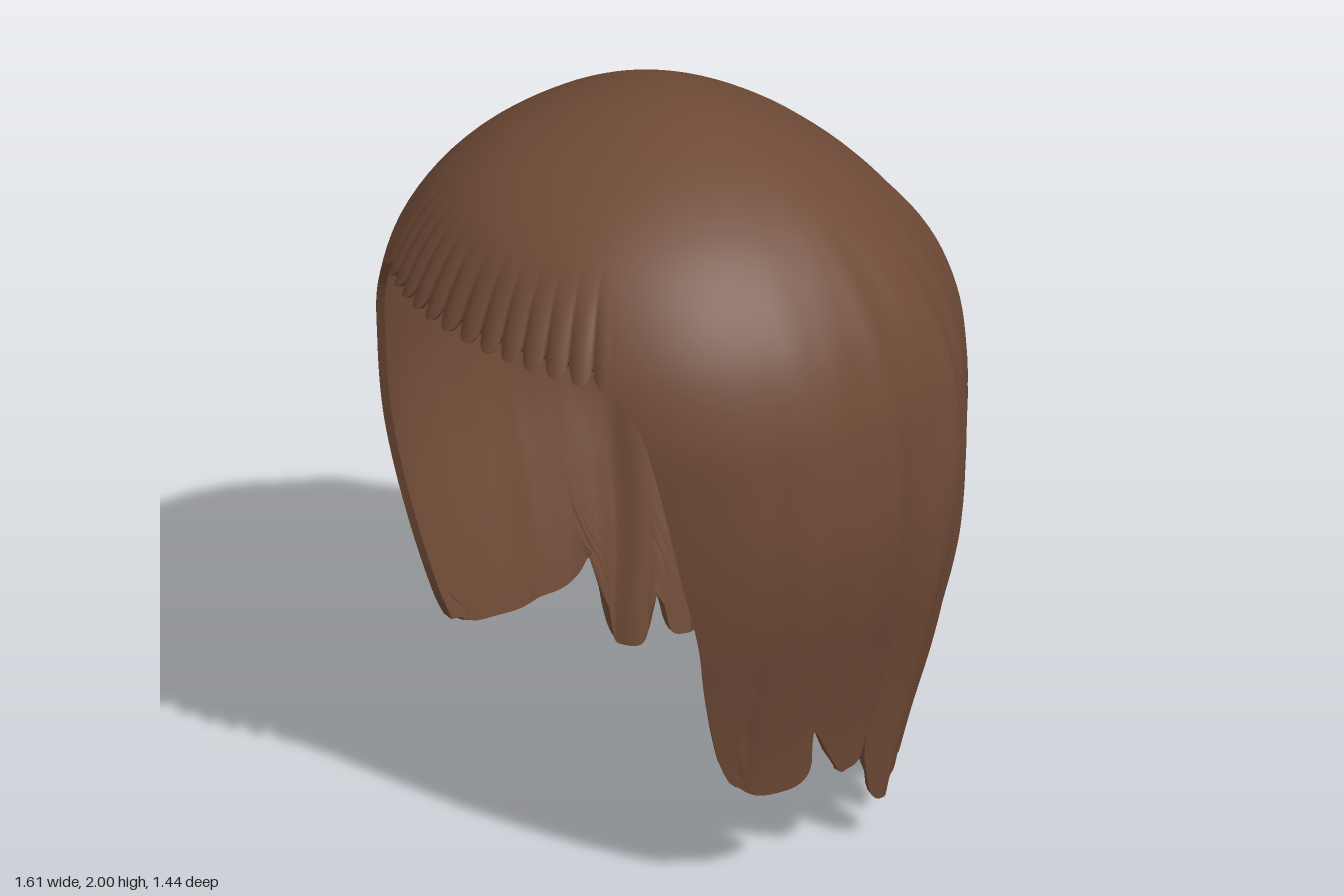
import * as THREE from 'three';

const rad = Math.PI / 180;

// Smooth (Hermite) lookup in rows of [key, value, value...], keys ascending
function lookup(rows, key, col = 1) {
  const last = rows.length - 1;
  const slope = (i) => {
    const a = rows[Math.max(0, i - 1)], b = rows[Math.min(last, i + 1)];
    return (b[col] - a[col]) / (b[0] - a[0]);
  };
  let i = 0;
  while (i < last - 1 && key > rows[i + 1][0]) i++;
  const h = rows[i + 1][0] - rows[i][0];
  const t = THREE.MathUtils.clamp((key - rows[i][0]) / h, 0, 1);
  const t2 = t * t, t3 = t2 * t;
  return rows[i][col] * (2 * t3 - 3 * t2 + 1) + rows[i + 1][col] * (3 * t2 - 2 * t3)
    + h * (slope(i) * (t3 - 2 * t2 + t) + slope(i + 1) * (t3 - t2));
}

// Height below the crown (square root): half width, front depth, back depth
const PROFILE = [
  [0, 2.0, 0, 0, 0], [0, 1.95, 0.26, 0.28, 0.2], [0, 1.8, 0.53, 0.55, 0.44],
  [0, 1.6, 0.7, 0.69, 0.62], [0, 1.4, 0.775, 0.735, 0.705], [0, 1.2, 0.795, 0.73, 0.73],
  [0, 1.0, 0.795, 0.72, 0.72], [0, 0.8, 0.765, 0.715, 0.71], [0, 0.6, 0.71, 0.71, 0.685],
  [0, 0.4, 0.66, 0.7, 0.64], [0, 0.2, 0.625, 0.69, 0.57], [0, 0, 0.59, 0.68, 0.52],
].map(([, y, a, f, b]) => [Math.sqrt(2 - y), a, f, b]);

// Angle of the face opening's edge at each height
const EDGE = [[0, 73], [0.3, 69], [0.4, 65], [0.6, 60], [0.8, 56], [1, 51.5], [1.3, 47], [1.42, 44.5], [1.5, 40]];

// Gaps between locks: angle, gap height, then the tip height of the lock after it
const LOCKS = [
  [70, 0.34, 0.28], [92, 0.47, 0.27], [105, 0.36, 0.13], [120, 0.34, 0.11], [137, 0.3, 0.09],
  [159, 0.24, 0.0], [184, 0.26, 0.08], [201, 0.24, 0.08], [211, 0.2, 0.07], [220, 0.29, 0.13],
  [234, 0.26, 0.11], [250, 0.36, 0.27], [290, 0.34, 0],
];
function lockAt(deg) {
  let i = 0;
  while (i < LOCKS.length - 2 && deg > LOCKS[i + 1][0]) i++;
  const [a0, top0, tip] = LOCKS[i], [a1, top1] = LOCKS[i + 1];
  const s = 2 * (deg - a0) / (a1 - a0) - 1;
  return { s, y: tip + ((s < 0 ? top0 : top1) - tip) * Math.abs(s) ** 4 };
}

// Scalloped lower edge of the fringe; level at 1.5 elsewhere
const scallop = (deg) => Math.abs(2 * ((((deg + 40) / 80) * 14) % 1) - 1);
function fringeY(deg) {
  const d = deg > 180 ? deg - 360 : deg;
  if (Math.abs(d) >= 40) return 1.5;
  const fade = THREE.MathUtils.smoothstep(40 - Math.abs(d), 0, 4);
  return 1.5 + fade * (0.033 - 0.02 * (d / 40) ** 2 + 0.045 * scallop(d) ** 3);
}

// Point on the outer hair surface
function hairPoint(deg, y) {
  const p = deg * rad, w = Math.sqrt(Math.max(0, 2 - y));
  const s = Math.sin(p), c = Math.cos(p);
  const round = (v) => Math.sign(v) * Math.abs(v) ** 0.95;
  const d = deg > 180 ? 360 - deg : deg;
  // Wavy folds on the back and sides
  const sides = THREE.MathUtils.smoothstep(d, 55, 120);
  const drop = THREE.MathUtils.smoothstep(w, 0.35, 1.0);
  const sway = 0.35 * Math.sin(3.2 * y + 0.6);
  let fold = sides * drop * (0.011 * Math.sin(10 * p + 2 * sway)
    + 0.010 * Math.sin(19 * p + 3 * sway + 1) + 0.005 * Math.sin(33 * p - 4 * sway));
  // Locks curve inward along their gaps near the hem
  if (y < 0.8 && d > 70) {
    fold -= 0.02 * THREE.MathUtils.smoothstep(0.8 - y, 0, 0.6) * lockAt(deg).s ** 4;
  }
  // Fine strands in the fringe
  if (d < 40) {
    fold -= 0.016 * scallop(deg > 180 ? deg - 360 : deg) ** 2
      * THREE.MathUtils.smoothstep(1.8 - y, 0, 0.25) * THREE.MathUtils.smoothstep(40 - d, 0, 5);
  }
  const depth = lookup(PROFILE, w, c > 0 ? 2 : 3);
  return [round(s) * (lookup(PROFILE, w, 1) + fold), y, round(c) * (depth + fold)];
}

function makeGeometry(positions, index) {
  const g = new THREE.BufferGeometry();
  g.setAttribute('position', new THREE.Float32BufferAttribute(positions, 3));
  g.setIndex(index);
  g.computeVertexNormals();
  return g;
}

export function createModel() {
  const group = new THREE.Group();
  group.name = 'hair';
  const brown = new THREE.MeshStandardMaterial({ color: 0x6f4a36, side: THREE.DoubleSide });
  brown.name = 'brown';

  const SIDE = 264, FRONT = 168, COLS = SIDE + FRONT, CAP = 28, DROP = 38;
  const pos = [], index = [];
  const quad = (a, b, c, d) => index.push(a, c, b, b, c, d);

  // Cap: rings from the crown to the fringe and brow line
  for (let r = 0; r <= CAP; r++) {
    for (let k = 0; k < COLS; k++) {
      const deg = k <= SIDE ? 40 + 280 * k / SIDE : (320 + 80 * (k - SIDE) / FRONT) % 360;
      const w = Math.sqrt(2 - fringeY(deg)) * r / CAP;
      pos.push(...hairPoint(deg, 2 - w * w));
      if (r < CAP) {
        const n = (k + 1) % COLS;
        quad(r * COLS + k, r * COLS + n, (r + 1) * COLS + k, (r + 1) * COLS + n);
      }
    }
  }

  // Curtain: sides and back hanging from the brow line to the jagged hem
  const start = (CAP + 1) * COLS, width = SIDE + 1;
  const at = (r, k) => (r === 0 ? CAP * COLS + k : start + (r - 1) * width + k);
  for (let r = 1; r <= DROP; r++) {
    for (let k = 0; k <= SIDE; k++) {
      const s = k / SIDE;
      const y = 1.5 + (lockAt(70 + 220 * s).y - 1.5) * r / DROP;
      const e = lookup(EDGE, y);
      pos.push(...hairPoint(e + s * (360 - 2 * e), y));
      if (k < SIDE) quad(at(r - 1, k), at(r - 1, k + 1), at(r, k), at(r, k + 1));
    }
  }
  const outer = makeGeometry(pos, index);
  const nor = outer.attributes.normal;
  for (let k = 0; k < COLS; k++) nor.setXYZ(k, 0, 1, 0);

  // Lining: the same surface moved inward and turned round
  const inner = pos.map((v, i) => v - 0.022 * nor.array[i]);
  const flipped = [];
  for (let i = 0; i < index.length; i += 3) flipped.push(index[i], index[i + 2], index[i + 1]);
  const lining = makeGeometry(inner, flipped);
  for (let k = 0; k < COLS; k++) lining.attributes.normal.setXYZ(k, 0, -1, 0);

  // Rim: closes the thickness around the opening and the hem
  const loop = [];
  for (let r = 0; r <= DROP; r++) loop.push(at(r, 0));
  for (let k = 1; k <= SIDE; k++) loop.push(at(DROP, k));
  for (let r = DROP - 1; r >= 0; r--) loop.push(at(r, SIDE));
  for (let k = SIDE + 1; k < COLS; k++) loop.push(CAP * COLS + k);
  const rimPos = [], rimIndex = [];
  loop.forEach((v, i) => {
    rimPos.push(...pos.slice(v * 3, v * 3 + 3), ...inner.slice(v * 3, v * 3 + 3));
    const a = 2 * i, b = 2 * ((i + 1) % loop.length);
    rimIndex.push(a, a + 1, b, b, a + 1, b + 1);
  });

  const parts = { outerHair: outer, hairLining: lining, hairRim: makeGeometry(rimPos, rimIndex) };
  for (const [name, geometry] of Object.entries(parts)) {
    const mesh = new THREE.Mesh(geometry, brown);
    mesh.name = name;
    group.add(mesh);
  }
  return group;
}
